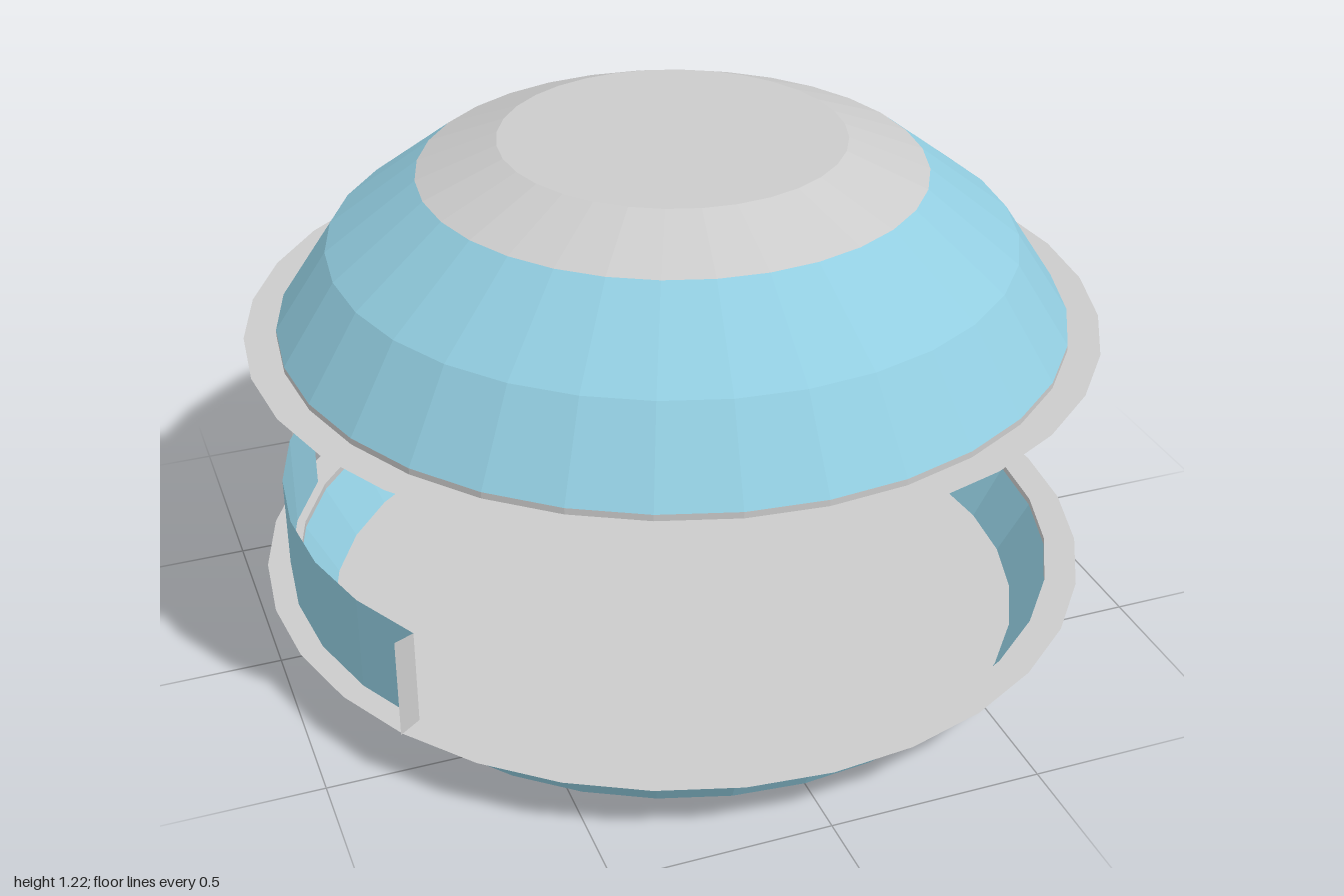
import * as THREE from 'three';

const SIDES = 32;
const STEP = (Math.PI * 2) / SIDES;

export function createModel() {
  const model = new THREE.Group();
  const grey = new THREE.MeshStandardMaterial({ color: 0xcccccc, flatShading: true, side: THREE.DoubleSide });
  const blue = new THREE.MeshStandardMaterial({ color: 0x92cde0, flatShading: true, side: THREE.DoubleSide });

  function add(parent, name, geometry, material) {
    const mesh = new THREE.Mesh(geometry, material);
    mesh.name = name;
    parent.add(mesh);
    return mesh;
  }

  // Thin faceted sheet turned from [radius, height] points
  function turned(points, segments = SIDES, start = 0) {
    const profile = points.map(([r, y]) => new THREE.Vector2(r, y));
    return new THREE.LatheGeometry(profile, segments, start, segments * STEP);
  }

  function part(name) {
    const group = new THREE.Group();
    group.name = name;
    model.add(group);
    return group;
  }

  // Lower dish: flat floor, sloping wall, upright lip and flat flange
  const dish = part('lowerDish');
  add(dish, 'dishFloor', turned([[0, 0], [0.85, 0]]), grey);
  add(dish, 'dishWall', turned([[0.85, 0], [0.925, 0.13]]), blue);
  add(dish, 'dishRim', turned([[0.925, 0.13], [0.925, 0.147], [1, 0.147]]), grey);

  // Raised dome: flange, lip, blue shell and grey crown
  const dome = part('dome');
  add(dome, 'domeRim', turned([[1, 0.775], [0.925, 0.775], [0.925, 0.79]]), grey);
  add(dome, 'domeShell', turned([[0.925, 0.79], [0.8, 0.98], [0.587, 1.143]]), blue);
  add(dome, 'domeCrown', turned([[0.587, 1.143], [0.4, 1.217], [0, 1.217]]), grey);

  // Curved side panel standing over the dish on the -x side
  const panel = part('sidePanel');
  add(panel, 'panelWall', turned([[0.945, 0.15], [0.945, 0.384]], 6, Math.PI * 1.5 - 3 * STEP), blue);

  // Radial tabs at both ends of the panel
  const tabShape = new THREE.Shape([[0.945, 0.15], [1.005, 0.147], [1.005, 0.393], [0.945, 0.384]]
    .map(([r, y]) => new THREE.Vector2(r, y)));
  for (const side of [-1, 1]) {
    const tab = add(panel, 'panelTab', new THREE.ShapeGeometry(tabShape), grey);
    tab.rotation.y = Math.PI + side * 3 * STEP;
  }

  return model;
}
